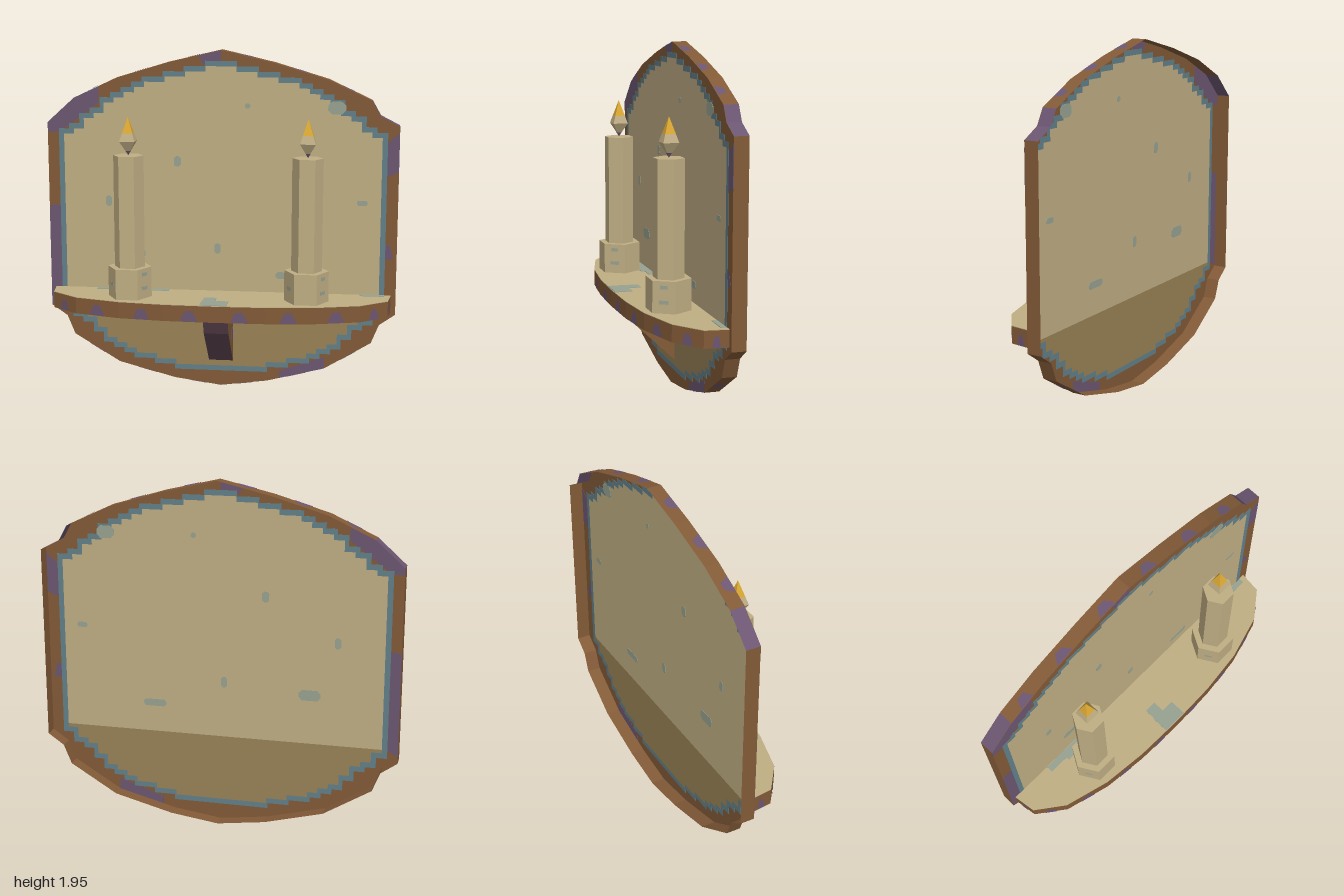
import * as THREE from 'three';

const mat = (name, color, side = THREE.FrontSide) => {
  const m = new THREE.MeshStandardMaterial({ color, side, flatShading: true });
  m.name = name;
  return m;
};
const tan = mat('pale tan', 0xc0ae84, THREE.DoubleSide);
const darkTan = mat('dark tan', 0x998256, THREE.DoubleSide);
const brown = mat('wood brown', 0x825a37, THREE.DoubleSide);
const purple = mat('worn purple', 0x6c5672, THREE.DoubleSide);
const plum = mat('plum brown', 0x5e4550);
const teal = mat('border teal', 0x628089, THREE.DoubleSide);
const paleTeal = mat('faded teal', 0x97a290);
const gold = mat('flame gold', 0xdca832);

const FACE_Z = -0.14, BACK_Z = -0.22;
const SHELF_LOW = 0.475, SHELF_TOP = 0.57;
const v2 = (pts) => pts.map(([x, y]) => new THREE.Vector2(x, y));

export function createModel() {
  const root = new THREE.Group();
  root.name = 'candleShelf';

  function add(name, geometry, material, parent = root) {
    const mesh = new THREE.Mesh(geometry, material);
    mesh.name = name;
    parent.add(mesh);
    return mesh;
  }

  // Thin plate centred on the plane of the back panel, visible from both sides
  function plate(name, pts, depth, material, hole) {
    const shape = new THREE.Shape(v2(pts));
    if (hole) shape.holes.push(new THREE.Path(v2(hole)));
    const geo = new THREE.ExtrudeGeometry(shape, { depth, bevelEnabled: false });
    return add(name, geo.translate(0, 0, FACE_Z - depth / 2), material);
  }

  // Flat four-cornered face
  function quad(name, a, b, c, d, material) {
    const geo = new THREE.BufferGeometry().setFromPoints([a, b, c, a, c, d]);
    geo.computeVertexNormals();
    return add(name, geo, material);
  }

  // Worn trapezoid of paint in the middle of an edge strip from p to q
  function wornPatch(name, p, q, rise) {
    const out = q.clone().sub(p).cross(rise).normalize().multiplyScalar(0.003);
    const at = (t, h) => p.clone().lerp(q, t).addScaledVector(rise, h).add(out);
    quad(name, at(0.32, 0.03), at(0.68, 0.03), at(0.58, 0.65), at(0.42, 0.65), purple);
  }

  // Back panel: outline runs counter-clockwise from the bottom tip
  const outline = [
    [0, 0], [0.27, 0.037], [0.6, 0.123], [0.866, 0.285], [0.91, 0.394], [1, 0.457],
    [1, 1.535], [0.893, 1.59], [0.845, 1.675], [0.6, 1.79], [0.3, 1.88], [0, 1.95],
    [-0.3, 1.88], [-0.6, 1.79], [-0.845, 1.675], [-1, 1.535],
    [-1, 0.457], [-0.91, 0.394], [-0.866, 0.285], [-0.6, 0.123], [-0.27, 0.037],
  ];

  // Stepped inner border, sampled in columns from simple curves
  const topCurve = [[0, 1.89], [0.1, 1.88], [0.26, 1.83], [0.42, 1.79], [0.58, 1.72], [0.71, 1.64], [0.8, 1.57], [0.935, 1.48]];
  const lowCurve = [[0, 0.08], [0.26, 0.1], [0.42, 0.14], [0.58, 0.2], [0.68, 0.26], [0.79, 0.35], [0.935, 0.47]];
  function sample(curve, x) {
    const i = Math.max(1, curve.findIndex((p) => p[0] >= x));
    const [x0, y0] = curve[i - 1], [x1, y1] = curve[i];
    return Math.round((y0 + (y1 - y0) * (x - x0) / (x1 - x0)) / 0.03) * 0.03;
  }
  function steps(curve, halfWidth, shift) {
    const pts = [], n = 31;
    for (let i = 0; i < n; i++) {
      const y = sample(curve, Math.abs((2 * i + 1) / n - 1) * 0.935) + shift;
      pts.push([(2 * i / n - 1) * halfWidth, y], [(2 * (i + 1) / n - 1) * halfWidth, y]);
    }
    return pts.filter((p, i) => !(pts[i - 1] && pts[i + 1] && pts[i - 1][1] === p[1] && pts[i + 1][1] === p[1]));
  }
  const W = 0.935, IN = 0.905, SPLIT = 0.5;
  const outer = [...steps(lowCurve, W, 0), ...steps(topCurve, W, 0).reverse()];
  const innerLow = steps(lowCurve, IN, 0.03), innerTop = steps(topCurve, IN, -0.03).reverse();

  plate('panelRim', outline, 0.002, brown, outer);
  plate('panelBorder', outer, 0.006, teal, [...innerLow, ...innerTop]);
  plate('panelField', [[-IN, SPLIT], [IN, SPLIT], ...innerTop], 0.006, tan);
  plate('panelLowerField', [...innerLow, [IN, SPLIT], [-IN, SPLIT]], 0.006, darkTan);

  // Worn paint on the rim
  [
    [[-1, 1.48], [-0.93, 1.48], [-0.7, 1.65], [-0.7, 1.743], [-0.845, 1.675], [-1, 1.535]],
    [[-1, 0.46], [-0.93, 0.5], [-0.93, 1.06], [-1, 1.05]],
    [[0.93, 1.25], [1, 1.28], [1, 1.5], [0.93, 1.44]],
    [[0.93, 0.78], [0.98, 0.78], [0.96, 0.86], [0.93, 0.86]],
    [[-0.13, 1.918], [-0.1, 1.87], [0, 1.88], [0, 1.949]],
    [[0.34, 0.056], [0.6, 0.123], [0.6, 0.19], [0.34, 0.1]],
  ].forEach((p) => plate('rimWear', p, 0.004, purple));

  // Faded spots on the field: x, y, width, height
  [
    [-0.25, 1.32, 0.04, 0.06], [0.15, 1.64, 0.03, 0.03], [-0.65, 1.085, 0.035, 0.06],
    [0.8, 1.1, 0.06, 0.03], [-0.02, 0.82, 0.035, 0.06], [0.38, 0.67, 0.13, 0.04],
    [-0.5, 0.78, 0.12, 0.06], [0.65, 1.635, 0.1, 0.07],
  ].forEach(([x, y, w, h]) => {
    const c = Math.min(w, h) * 0.3, a = w / 2, b = h / 2;
    plate('fadedSpot', [[x - a + c, y - b], [x + a - c, y - b], [x + a, y - b + c], [x + a, y + b - c],
      [x + a - c, y + b], [x - a + c, y + b], [x - a, y + b - c], [x - a, y - b + c]], 0.0095, paleTeal);
  });

  // Panel edge: an open-backed skirt around the outline
  outline.forEach(([x, y], i) => {
    const [nx, ny] = outline[(i + 1) % outline.length];
    const a = new THREE.Vector3(x, y, FACE_Z), b = new THREE.Vector3(nx, ny, FACE_Z);
    const depth = new THREE.Vector3(0, 0, BACK_Z - FACE_Z);
    const corner = Math.abs(x) > 0.84 && Math.abs(nx) > 0.84 && y > 1.5 && ny > 1.5;
    quad('panelEdge', a, a.clone().add(depth), b.clone().add(depth), b, corner ? purple : brown);
    if (!corner && Math.abs(x - nx) > 0.1) wornPatch('edgeWear', b, a, depth.clone());
  });

  // Shelf: bowed board with a pale top; profile given as x, z
  const half = [[0, 0.215], [0.28, 0.208], [0.54, 0.18], [0.8, 0.108], [0.955, -0.01], [0.972, FACE_Z]];
  const front = [...half.slice(1).reverse().map(([x, z]) => [-x, z]), ...half];
  function board(name, y, height, material) {
    const shape = new THREE.Shape(v2(front.map(([x, z]) => [x, -z])));
    const geo = new THREE.ExtrudeGeometry(shape, { depth: height, bevelEnabled: false });
    return add(name, geo.rotateX(-Math.PI / 2).translate(0, y, 0), material);
  }
  board('shelf', SHELF_LOW, SHELF_TOP - SHELF_LOW - 0.003, brown);
  board('shelfTop', SHELF_TOP - 0.003, 0.003, tan);
  for (let i = 0; i < front.length - 1; i++) {
    const [p, q] = [front[i], front[i + 1]].map(([x, z]) => new THREE.Vector3(x, SHELF_LOW, z));
    wornPatch('shelfWear', p, q, new THREE.Vector3(0, SHELF_TOP - SHELF_LOW, 0));
  }
  // Faded patches on the shelf top: x, z, width, depth
  [[-0.51, -0.115, 0.42, 0.04], [-0.5, -0.085, 0.2, 0.02], [0.865, -0.12, 0.14, 0.03],
    [-0.04, 0.08, 0.07, 0.08], [-0.005, 0.16, 0.15, 0.1]].forEach(([x, z, w, d]) => {
    add('shelfSpot', new THREE.BoxGeometry(w, 0.004, d), paleTeal).position.set(x, SHELF_TOP + 0.001, z);
  });

  // Bracket: wedge under the shelf; profile given as z, y
  const wedge = new THREE.Shape(v2([[-0.14, 0.15], [-0.14, SHELF_LOW], [0.145, SHELF_LOW], [0.1, 0.38]].map(([z, y]) => [-z, y])));
  const wedgeGeo = new THREE.ExtrudeGeometry(wedge, { depth: 0.14, bevelEnabled: false });
  add('bracket', wedgeGeo.rotateY(Math.PI / 2).translate(-0.07, 0, 0), [brown, plum]);
  for (const s of [-1, 1]) {
    add('bracketSpot', new THREE.BoxGeometry(0.004, 0.07, 0.035), purple).position.set(s * 0.071, 0.33, -0.09);
  }

  // Candles: hexagonal holder and stick, four-sided flame
  function prism(name, rTop, rLow, y0, y1, sides, material, parent, open = false) {
    const geo = new THREE.CylinderGeometry(rTop, rLow, y1 - y0, sides, 1, open);
    geo.rotateY(sides === 4 ? Math.PI / 4 : Math.PI / 2);
    return add(name, geo.translate(0, (y0 + y1) / 2, 0), material, parent);
  }
  for (const x of [-0.5, 0.5]) {
    const candle = new THREE.Group();
    candle.name = 'candle';
    candle.position.set(x, 0, 0.033);
    root.add(candle);
    const r = 0.043 * Math.SQRT2;
    prism('holder', 0.124, 0.124, SHELF_TOP, 0.743, 6, tan, candle);
    prism('stick', 0.086, 0.086, 0.743, 1.375, 6, tan, candle);
    prism('wick', r * 0.3, 0, 1.375, 1.4, 4, purple, candle, true);
    prism('flameBase', r, r * 0.3, 1.4, 1.455, 4, tan, candle, true);
    prism('flameMiddle', r * 0.67, r, 1.455, 1.5, 4, tan, candle, true);
    prism('flameTip', 0, r * 0.67, 1.5, 1.59, 4, gold, candle, true);
    for (const [y, w, turn] of [[0.71, 0.04, 1], [0.63, 0.05, 1], [0.65, 0.04, -1]]) {
      const spot = add('holderSpot', new THREE.BoxGeometry(w, 0.02, 0.004), paleTeal, candle);
      spot.rotation.y = turn * Math.PI / 3;
      spot.position.set(Math.sin(spot.rotation.y) * 0.107, y, Math.cos(spot.rotation.y) * 0.107);
    }
  }
  return root;
}
